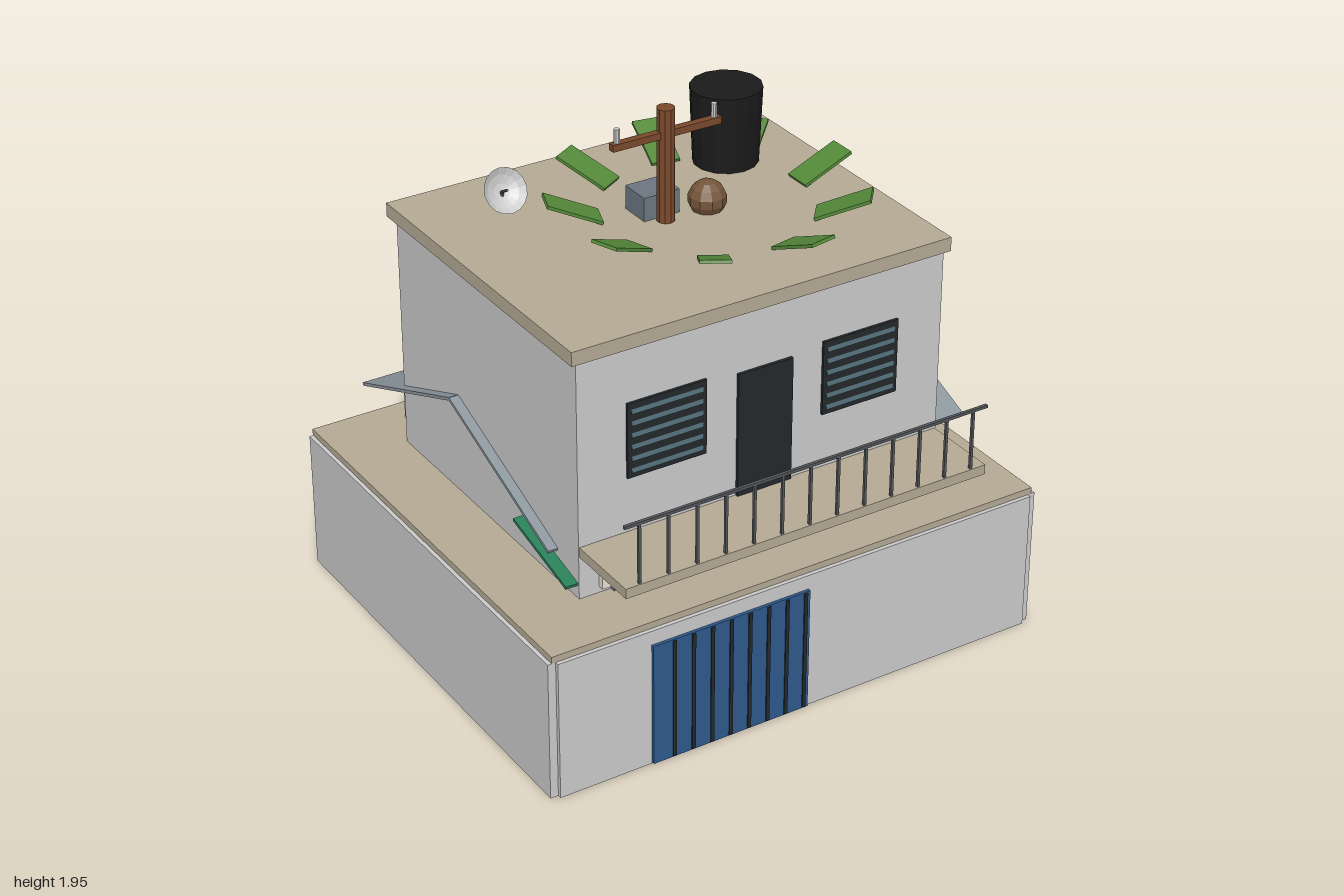
import * as THREE from 'three';

const COLORS = {
  wall: 0xcccccc, slab: 0xb5aa95, blue: 0x2f5a8c, dark: 0x23282c, slat: 0x4a6570, cream: 0xe6e2d0,
  orange: 0xd4532a, metal: 0x55585c, roof: 0x8c979e, green: 0x2a8058, tank: 0x1b1b1b, wood: 0x7a4a2c,
  leaf: 0x558a3a, box: 0x6d7781, pale: 0xe4e4e4, shell: 0x76553a,
};
const materials = {};
const mat = (key) => (materials[key] ??= new THREE.MeshStandardMaterial({
  color: COLORS[key], flatShading: true, side: key === 'pale' ? THREE.DoubleSide : THREE.FrontSide,
}));

export function createModel() {
  const root = new THREE.Group();

  const add = (name, geometry, color, x, y, z, parent = root) => {
    const mesh = new THREE.Mesh(geometry, mat(color));
    mesh.name = name;
    mesh.position.set(x, y, z);
    parent.add(mesh);
    return mesh;
  };
  // Box given by its limits on each axis
  const box = (name, color, x0, x1, y0, y1, z0, z1) =>
    add(name, new THREE.BoxGeometry(x1 - x0, y1 - y0, z1 - z0), color,
      (x0 + x1) / 2, (y0 + y1) / 2, (z0 + z1) / 2);
  // Upright cylinder from y0 to y1
  const cyl = (name, color, x, z, y0, y1, rTop, rBottom, sides) =>
    add(name, new THREE.CylinderGeometry(rTop, rBottom, y1 - y0, sides), color, x, (y0 + y1) / 2, z);

  // Compound walls, open below, with the deck on top
  box('frontWall', 'wall', -0.97, 0.97, 0, 0.54, 0.83, 0.86);
  box('backWall', 'wall', -0.97, 0.97, 0, 0.54, -0.89, -0.86);
  for (const s of [-1, 1]) {
    const wall = box('sideWall', 'wall', -0.015, 0.015, 0, 0.54, -0.875, 0.845);
    wall.position.x = s * 0.985;
  }
  box('deck', 'slab', -0.985, 0.985, 0.538, 0.565, -0.878, 0.845);

  // Gate with dark ribs
  box('gate', 'blue', -0.61, 0.02, 0.005, 0.485, 0.855, 0.872);
  for (let i = 0; i < 8; i++) {
    const x = -0.527 + i * 0.0755;
    box('gateRib', 'dark', x - 0.007, x + 0.007, 0.01, 0.48, 0.865, 0.876);
  }

  // House and its flat roof
  box('house', 'wall', -0.733, 0.733, 0, 1.475, -0.62, 0.6);
  box('flatRoof', 'slab', -0.755, 0.755, 1.47, 1.523, -0.65, 0.612);

  // Door and louvred windows
  box('door', 'dark', -0.11, 0.11, 0.765, 1.245, 0.595, 0.612);
  for (const s of [-1, 1]) {
    box('windowFrame', 'dark', s * 0.39 - 0.155, s * 0.39 + 0.155, 0.98, 1.265, 0.595, 0.61);
    for (let i = 0; i < 6; i++) {
      const slat = box('windowSlat', 'slat', s * 0.39 - 0.14, s * 0.39 + 0.14, 0, 0.024, 0.604, 0.612);
      slat.position.y = 1.01 + i * 0.045;
      slat.rotation.x = -0.4;
    }
  }

  // Balcony with railing
  box('balcony', 'slab', -0.73, 0.73, 0.73, 0.768, 0.59, 0.895);
  box('handrail', 'metal', -0.73, 0.73, 0.994, 1.005, 0.879, 0.891);
  for (let i = -6; i <= 6; i++) {
    box('baluster', 'metal', i * 0.112 - 0.005, i * 0.112 + 0.005, 0.765, 1, 0.88, 0.89);
  }

  // Shopfront panel, trim strip and step under the balcony
  box('frontPanel', 'cream', -0.655, 0.655, 0.588, 0.73, 0.595, 0.622);
  box('panelTrim', 'orange', -0.655, 0.655, 0.708, 0.728, 0.6, 0.628);
  box('frontStep', 'box', -0.61, -0.03, 0.562, 0.588, 0.595, 0.62);

  // Annex with a gabled sheet roof and a green awning
  box('annex', 'wall', -0.66, 0.85, 0.56, 0.73, -0.77, 0.35);
  for (const s of [-1, 1]) {
    const sheet = add('annexRoof', new THREE.BoxGeometry(1.73, 0.012, 0.722), 'roof',
      0.095, 0.82, -0.21 + s * 0.335);
    sheet.rotation.x = s * 0.377;
  }
  const awning = add('awning', new THREE.BoxGeometry(1.56, 0.012, 0.36), 'green', 0, 0.662, 0.417);
  awning.rotation.x = 0.24;

  // Water tank on a raised platform
  cyl('tankPost', 'slab', 0.75, -0.647, 0.56, 0.985, 0.019, 0.019, 8);
  box('tankPlatform', 'slab', 0.595, 0.91, 0.982, 1.002, -0.805, -0.495);
  cyl('lowerTank', 'tank', 0.75, -0.65, 1, 1.32, 0.147, 0.147, 14);
  cyl('tankCap', 'tank', 0.75, -0.65, 1.315, 1.347, 0.05, 0.05, 12);

  // Water tank on the flat roof
  cyl('roofTank', 'tank', 0.435, -0.31, 1.52, 1.815, 0.132, 0.12, 14);

  // Utility pole with crossarm and insulators
  cyl('pole', 'wood', 0, -0.02, 1.52, 1.95, 0.033, 0.033, 10);
  box('crossarm', 'wood', -0.218, 0.218, 1.84, 1.866, -0.034, -0.006);
  for (const s of [-1, 1]) cyl('insulator', 'pale', s * 0.195, -0.02, 1.86, 1.918, 0.011, 0.011, 8);
  box('utilityBox', 'box', -0.072, 0.072, 1.52, 1.613, -0.168, -0.045);

  // Round trunk stub with a ring of fronds
  add('trunkStub', new THREE.SphereGeometry(0.07, 10, 7), 'shell', 0.17, 1.562, -0.02);
  for (let i = 0; i < 9; i++) {
    const pivot = new THREE.Group();
    pivot.name = 'frond';
    pivot.position.set(0.17, 1.57, -0.02);
    pivot.rotation.y = (i * Math.PI * 2) / 9;
    root.add(pivot);
    const blade = add('frondBlade', new THREE.BoxGeometry(0.21, 0.012, 0.108), 'leaf', 0.475, 0, 0, pivot);
    blade.rotation.z = 0.4;
  }

  // Satellite dish tilted up and forward
  cyl('dishPost', 'metal', -0.44, -0.385, 1.52, 1.59, 0.007, 0.007, 6);
  const profile = [[0, 0], [0.03, 0.005], [0.06, 0.019], [0.083, 0.038]].map(([r, y]) => new THREE.Vector2(r, y));
  const dish = add('dish', new THREE.LatheGeometry(profile, 16), 'pale', -0.44, 1.59, -0.39);
  dish.rotation.x = 1.03;
  add('dishFeed', new THREE.CylinderGeometry(0.005, 0.005, 0.05, 6), 'metal', 0, 0.025, 0, dish);

  return root;
}
